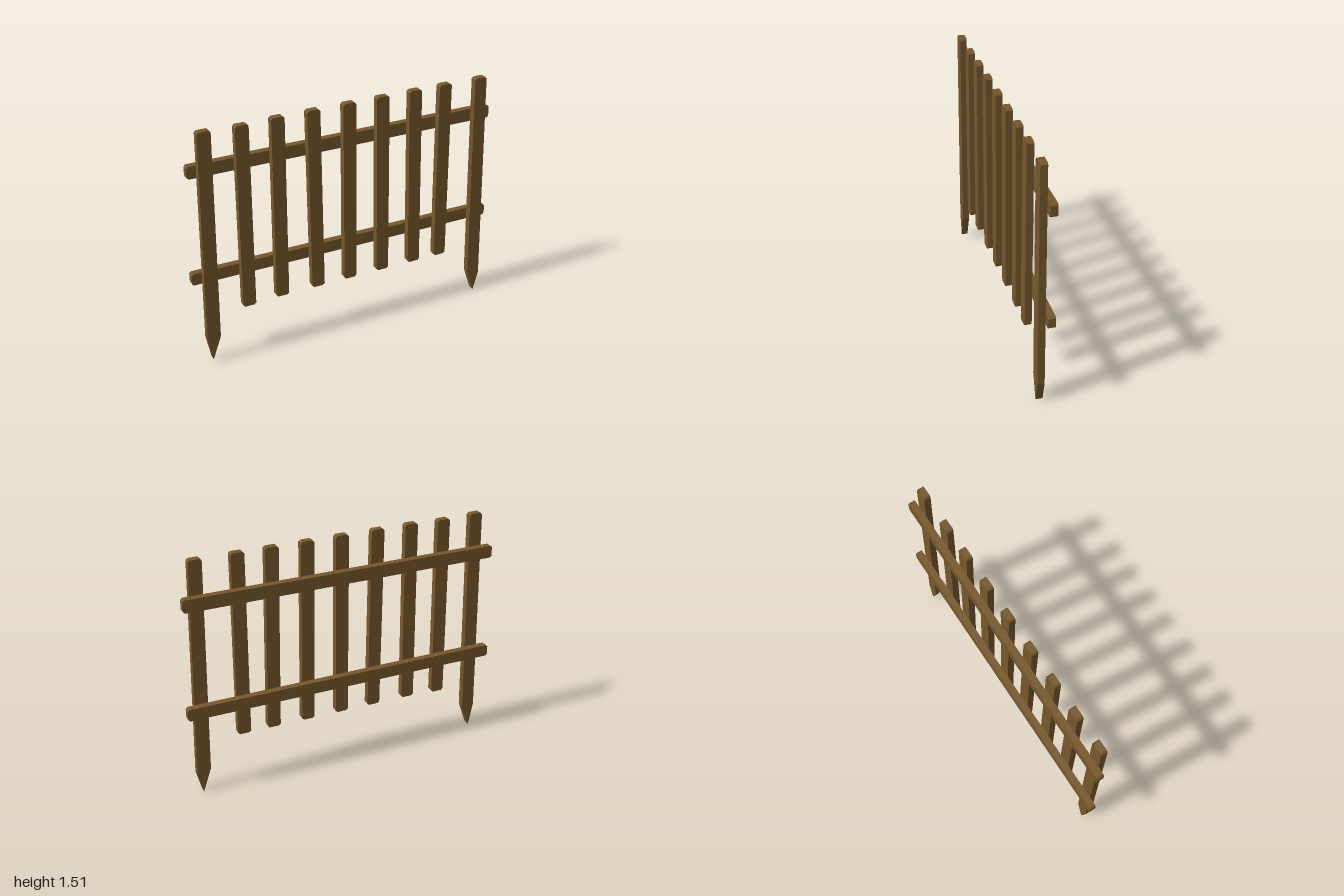
import * as THREE from 'three';

const DEPTH = 0.042;

// Flat board: corner outline (counter-clockwise) with lightly clipped corners, extruded in z.
// Corners whose third value is 0 stay sharp.
function board(name, corners, z, material) {
  const pts = [];
  corners.forEach(([x, y, clip = 0.011], i) => {
    const p = new THREE.Vector2(x, y);
    if (!clip) { pts.push(p); return; }
    for (const step of [-1, 1]) {
      const [nx, ny] = corners[(i + step + corners.length) % corners.length];
      const dir = new THREE.Vector2(nx - x, ny - y).normalize();
      pts.push(p.clone().addScaledVector(dir, clip));
    }
  });
  const geometry = new THREE.ExtrudeGeometry(new THREE.Shape(pts), { depth: DEPTH, bevelEnabled: false });
  const mesh = new THREE.Mesh(geometry, material);
  mesh.name = name;
  mesh.position.z = z;
  return mesh;
}

export function createModel() {
  const fence = new THREE.Group();
  fence.name = 'picketFence';
  const wood = new THREE.MeshStandardMaterial({ color: 0x76572c });
  wood.name = 'brown wood';

  // Pickets: top centre x, bottom centre x, bottom y, top y
  const half = 0.041;
  const pickets = [
    [-0.663, -0.666, 0.335, 1.508],
    [-0.447, -0.450, 0.345, 1.514],
    [-0.227, -0.211, 0.345, 1.514],
    [0.001, 0.007, 0.345, 1.514],
    [0.219, 0.232, 0.345, 1.514],
    [0.436, 0.456, 0.345, 1.514],
    [0.641, 0.647, 0.345, 1.514],
  ];
  pickets.forEach(([top, bottom, y0, y1], i) => {
    fence.add(board(`picket${i + 1}`, [
      [bottom - half, y0], [bottom + half, y0], [top + half, y1], [top - half, y1],
    ], 0, wood));
  });

  // Pointed end posts
  fence.add(board('rightPost', [
    [-0.915, 0.022, 0], [-0.861, 0.175, 0], [-0.843, 1.514], [-0.925, 1.514], [-0.945, 0.175, 0],
  ], 0, wood));
  fence.add(board('leftPost', [
    [0.924, 0, 0], [0.958, 0.13, 0], [0.927, 1.514], [0.847, 1.514], [0.872, 0.155, 0],
  ], 0, wood));

  // Rails behind the pickets
  fence.add(board('upperRail', [
    [-0.985, 1.227], [0.985, 1.223], [0.985, 1.303], [-0.985, 1.304],
  ], -DEPTH, wood));
  fence.add(board('lowerRail', [
    [-1, 0.543], [1, 0.534], [1, 0.61], [-1, 0.618],
  ], -DEPTH, wood));

  return fence;
}
